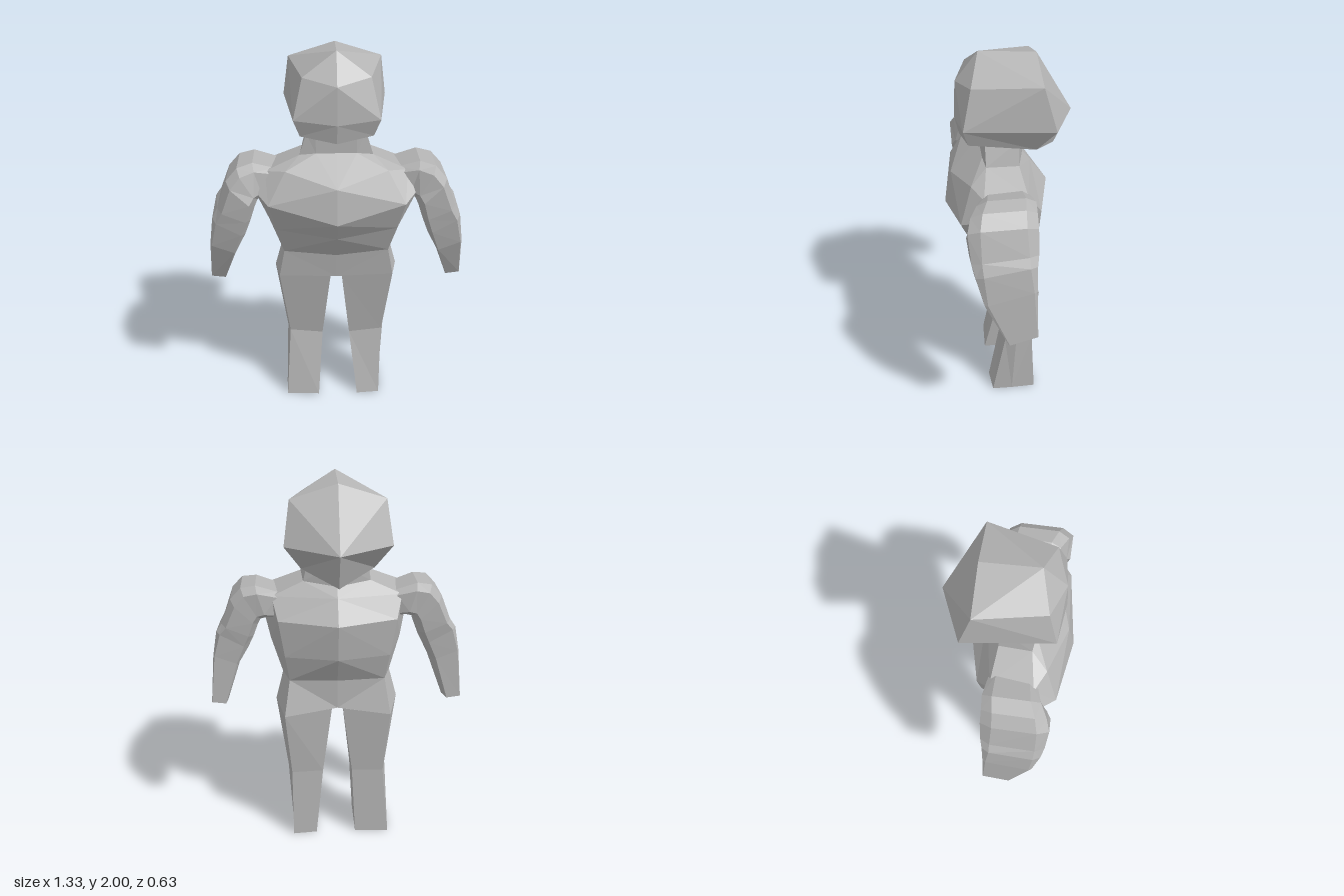
import * as THREE from 'three';

const skin = new THREE.MeshStandardMaterial({ color: 0xb4b4b4, flatShading: true });
skin.name = 'plain grey';

const distance = (a, b) => Math.hypot(a[0] - b[0], a[1] - b[1], a[2] - b[2]);

// Closed skin over a stack of equal-length rings, with fan caps at both ends.
function loft(name, rings, topCentre) {
  const n = rings[0].length;
  const tris = [];
  for (let r = 0; r < rings.length - 1; r++) {
    for (let i = 0; i < n; i++) {
      const j = (i + 1) % n;
      const a = rings[r][i], b = rings[r][j], c = rings[r + 1][j], d = rings[r + 1][i];
      // Split along the shorter diagonal, which keeps both halves alike
      if (distance(a, c) < distance(b, d)) tris.push([a, d, c], [a, c, b]);
      else tris.push([a, d, b], [b, d, c]);
    }
  }
  const middle = (ring) => [0, 1, 2].map((k) => ring.reduce((s, p) => s + p[k], 0) / n);
  const first = rings[0], last = rings[rings.length - 1];
  const top = topCentre || middle(first), bottom = middle(last);
  for (let i = 0; i < n; i++) {
    const j = (i + 1) % n;
    tris.push([top, first[i], first[j]], [bottom, last[j], last[i]]);
  }
  // A negative volume means the corners run inward, so turn them round.
  const v = tris.map((t) => t.map((p) => new THREE.Vector3(...p)));
  const volume = v.reduce((s, [a, b, c]) => s + a.dot(b.clone().cross(c)), 0);
  if (volume < 0) v.forEach((t) => t.reverse());
  const geometry = new THREE.BufferGeometry().setFromPoints(v.flat());
  geometry.computeVertexNormals();
  const mesh = new THREE.Mesh(geometry, skin);
  mesh.name = name;
  return mesh;
}

// Completes a half ring (front centre to back centre) with its mirror image.
const mirrorRing = (half) =>
  half.concat(half.slice(1, -1).reverse().map(([x, y, z]) => [-x, y, z]));

// Arm section between an outer and an inner point, with cut corners;
// tilt lowers its front and raises its back.
function armRing([ox, oy, ix, iy, front, back, cut, tilt], side) {
  const cx = (ox + ix) / 2, cy = (oy + iy) / 2, cz = (front + back) / 2;
  const k = 1 - cut;
  return [[1, k], [k, 1], [-k, 1], [-1, k], [-1, -k], [-k, -1], [k, -1], [1, -k]]
    .map(([u, w]) => [
      side * (cx + u * (ox - cx)),
      cy + u * (oy - cy) - w * tilt,
      cz + w * (front - cz),
    ]);
}

export function createModel() {
  const model = new THREE.Group();
  model.name = 'figure';

  // Faceted head with a short ridge on top
  model.add(loft('head', [
    [[0, 1.86, 0.24], [0.16, 1.89, 0.18], [0.23, 1.91, -0.14], [0, 1.98, -0.14]],
    [[0, 1.68, 0.25], [0.205, 1.7, 0.225], [0.26, 1.7, -0.2], [0, 1.68, -0.315]],
    [[0, 1.585, 0.23], [0.175, 1.615, 0.2], [0.18, 1.57, -0.12], [0, 1.5, -0.235]],
  ].map(mirrorRing), [0, 2, 0.13]));

  // Neck, chest, waist and hips
  model.add(loft('torso', [
    [[0, 1.57, 0.13], [0.1, 1.59, 0.13], [0.145, 1.6, 0.12], [0.14, 1.6, -0.04], [0, 1.58, -0.08]],
    [[0, 1.5, 0.13], [0.1, 1.5, 0.13], [0.18, 1.49, 0.12], [0.17, 1.48, -0.04], [0, 1.46, -0.08]],
    [[0, 1.37, 0.28], [0.25, 1.435, 0.2], [0.35, 1.42, 0.15], [0.33, 1.41, -0.06], [0, 1.41, -0.12]],
    [[0, 1.195, 0.315], [0.335, 1.28, 0.26], [0.4, 1.33, 0.19], [0.3, 1.3, -0.13], [0, 1.29, -0.205]],
    [[0, 1.08, 0.236], [0.304, 1.12, 0.195], [0.345, 1.13, 0.08], [0.27, 1.1, -0.12], [0, 1.1, -0.18]],
    [[0, 0.93, 0.13], [0.27, 0.96, 0.13], [0.285, 0.96, 0.02], [0.25, 0.95, -0.08], [0, 0.95, -0.1]],
    [[0, 0.79, 0.11], [0.3, 0.8, 0.11], [0.325, 0.81, 0], [0.28, 0.76, -0.135], [0, 0.79, -0.1]],
  ].map(mirrorRing)));

  for (const side of [1, -1]) {
    const label = side > 0 ? 'left' : 'right';

    // Leg: thigh, knee and a flat foot, the right foot being a little wider
    const [footIn, footOut] = side > 0 ? [0.12, 0.25] : [0.1, 0.285];
    model.add(loft(label + 'Leg', [
      [[0.03, 0.791, 0.11], [0.3, 0.8, 0.11], [0.325, 0.81, 0], [0.28, 0.76, -0.135], [0.03, 0.787, -0.104]],
      [[0.075, 0.38, 0.04], [0.255, 0.4, 0.04], [0.27, 0.4, -0.02], [0.25, 0.4, -0.11], [0.08, 0.4, -0.1]],
      [[footIn, 0, 0.12], [footOut - 0.005, 0, 0.11], [footOut, 0, 0],
        [footOut, 0, -0.13], [footIn, 0, -0.12]],
    ].map((ring) => ring.map(([x, y, z]) => [side * x, y, z]))));

    // Arm: rounded shoulder, elbow, and a forearm tapering to a square end
    model.add(loft(label + 'Arm', [
      [0.3, 1.425, 0.32, 1.29, 0.16, -0.07, 0.3, 0],
      [0.41, 1.46, 0.36, 1.29, 0.19, -0.085, 0.35, 0],
      [0.485, 1.445, 0.39, 1.28, 0.225, -0.08, 0.35, 0],
      [0.54, 1.385, 0.405, 1.25, 0.245, -0.08, 0.35, 0],
      [0.59, 1.25, 0.43, 1.18, 0.235, -0.075, 0.3, 0.01],
      [0.62, 1.2, 0.46, 1.11, 0.22, -0.065, 0.25, 0.02],
      [0.642, 1.06, 0.515, 1.01, 0.185, -0.06, 0.12, 0.03],
      [0.665, 0.805, 0.59, 0.795, 0.075, -0.065, 0.04, 0.02],
    ].map((section) => armRing(section, side))));
  }
  return model;
}
